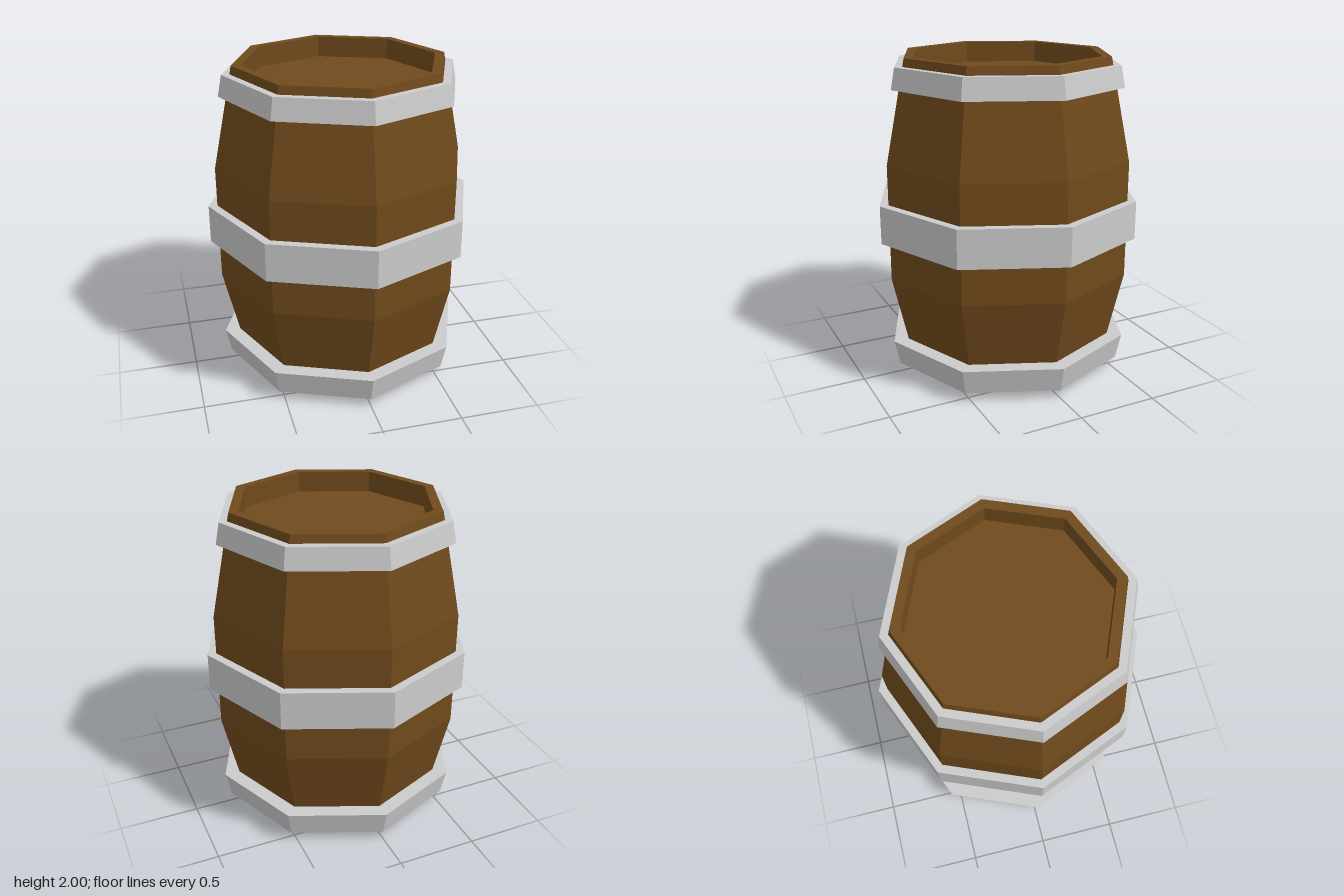
import * as THREE from 'three';

const SIDES = 8;

// Revolve a profile of [radius, y] pairs, listed from bottom to top on the outside
function turned(name, profile, material) {
  const points = profile.map(([r, y]) => new THREE.Vector2(r, y));
  const mesh = new THREE.Mesh(new THREE.LatheGeometry(points, SIDES), material);
  mesh.name = name;
  return mesh;
}

// Closed band: outer radii r0/r1 and inner radii i0/i1 at heights y0/y1
function hoop(name, y0, y1, r0, r1, i0, i1, material) {
  return turned(name, [[i0, y0], [r0, y0], [r1, y1], [i1, y1], [i0, y0]], material);
}

export function createModel() {
  const wood = new THREE.MeshStandardMaterial({ color: 0x704a1c, flatShading: true });
  const metal = new THREE.MeshStandardMaterial({ color: 0xcccccc, flatShading: true });

  const barrel = new THREE.Group();
  barrel.name = 'barrel';

  // Bulged staves with recessed heads at both ends
  barrel.add(turned('staves', [
    [0, 0.12], [0.585, 0.12], [0.585, 0], [0.645, 0],
    [0.79, 0.64], [0.79, 1.37],
    [0.66, 2], [0.6, 2], [0.6, 1.87], [0, 1.87],
  ], wood));

  // Metal bands
  barrel.add(
    hoop('bottomHoop', 0.055, 0.215, 0.755, 0.79, 0.65, 0.685, metal),
    hoop('middleHoop', 0.885, 1.125, 0.845, 0.845, 0.78, 0.78, metal),
    hoop('topHoop', 1.82, 1.95, 0.745, 0.72, 0.69, 0.665, metal),
  );

  return barrel;
}
